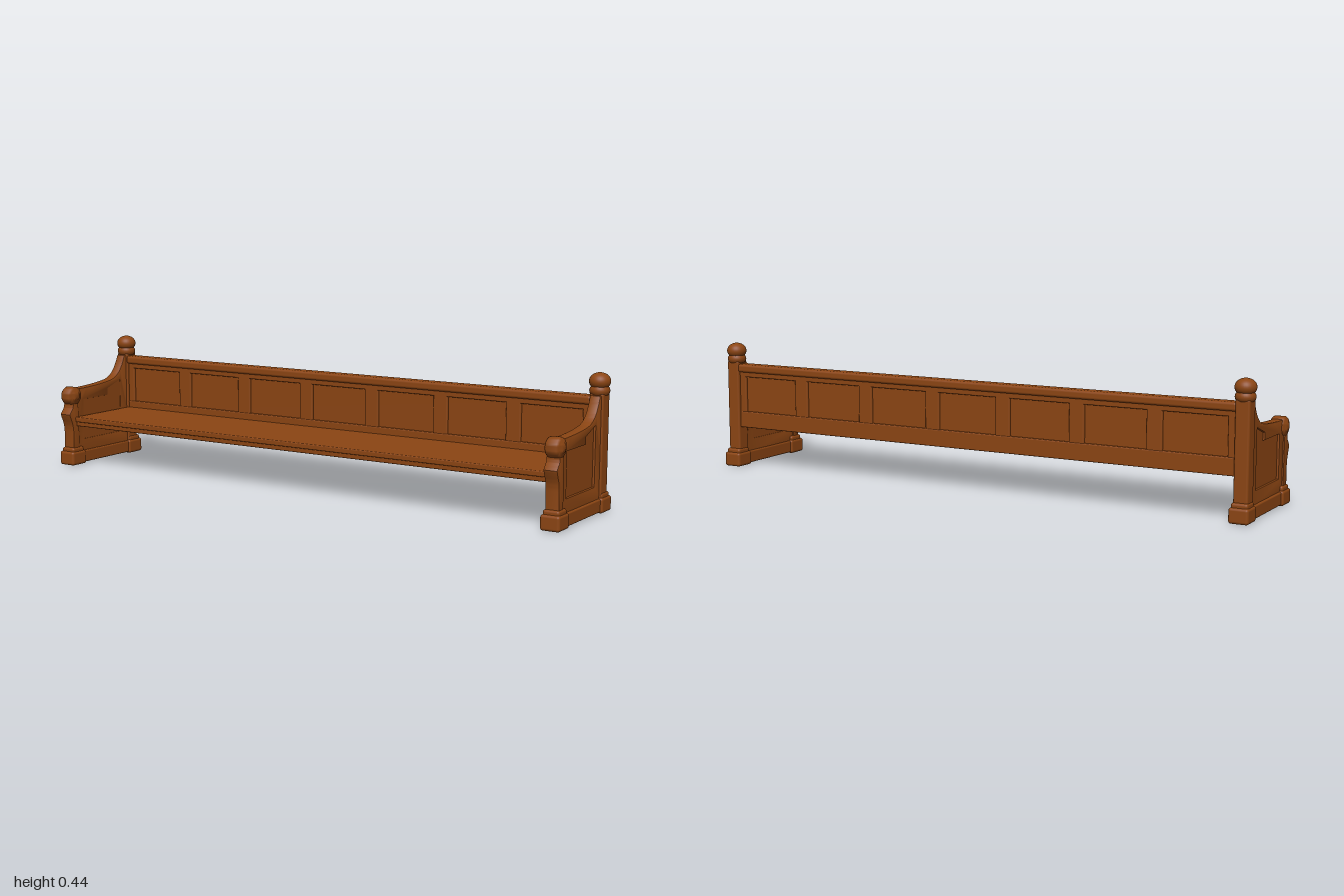
import * as THREE from 'three';
import { RoundedBoxGeometry } from 'three/addons/geometries/RoundedBoxGeometry.js';
import { toCreasedNormals } from 'three/addons/utils/BufferGeometryUtils.js';

const END_X = 0.967;

export function createModel() {
  const pew = new THREE.Group();
  pew.name = 'pew';
  const wood = new THREE.MeshStandardMaterial({ color: 0x8b4513 });
  wood.name = 'brown wood';

  const add = (parent, name, geometry, x = 0, y = 0, z = 0) => {
    const mesh = new THREE.Mesh(geometry, wood);
    mesh.name = name;
    mesh.position.set(x, y, z);
    parent.add(mesh);
    return mesh;
  };
  // Box given by its limits on each axis, with optional rounded edges
  const block = (parent, name, [x0, x1], [y0, y1], [z0, z1], r = 0) => {
    const size = [x1 - x0, y1 - y0, z1 - z0];
    const g = r ? new RoundedBoxGeometry(...size, 3, r) : new THREE.BoxGeometry(...size);
    return add(parent, name, g, (x0 + x1) / 2, (y0 + y1) / 2, (z0 + z1) / 2);
  };
  // Extrudes a (z, y) outline sideways, centred on x = 0
  const sideExtrude = (shape, width, bevel = 0) => {
    const g = new THREE.ExtrudeGeometry(shape, {
      depth: width - 2 * bevel, curveSegments: 14, bevelEnabled: bevel > 0,
      bevelThickness: bevel, bevelSize: bevel, bevelOffset: -bevel, bevelSegments: 2,
    });
    g.translate(0, 0, -(width - 2 * bevel) / 2).rotateY(-Math.PI / 2);
    return toCreasedNormals(g, 0.6);
  };

  // Outline of a bench end: swept arm in front of the tall rear post
  const outline = () => {
    const s = new THREE.Shape();
    s.moveTo(-0.172, 0.02);
    s.lineTo(0.177, 0.02);
    s.lineTo(0.177, 0.12);
    s.bezierCurveTo(0.178, 0.155, 0.192, 0.17, 0.195, 0.187);
    s.bezierCurveTo(0.19, 0.203, 0.176, 0.203, 0.177, 0.222);
    s.lineTo(0.16, 0.278);
    s.lineTo(0.13, 0.278);
    s.bezierCurveTo(0.05, 0.28, 0, 0.284, -0.04, 0.291);
    s.bezierCurveTo(-0.09, 0.303, -0.105, 0.345, -0.118, 0.374);
    s.lineTo(-0.172, 0.374);
    s.closePath();
    return s;
  };
  const frameShape = outline();
  frameShape.holes.push(new THREE.Path([
    [0.115, 0.09], [0.115, 0.235], [-0.02, 0.235], [-0.02, 0.26], [-0.09, 0.285], [-0.09, 0.09],
  ].map(([z, y]) => new THREE.Vector2(z, y))));
  const frameGeo = sideExtrude(frameShape, 0.036, 0.004);

  const panelShape = new THREE.Shape([
    [0.12, 0.085], [0.12, 0.24], [-0.015, 0.24], [-0.015, 0.265], [-0.095, 0.291], [-0.095, 0.085],
  ].map(([z, y]) => new THREE.Vector2(z, y)));
  const panelGeo = sideExtrude(panelShape, 0.026);

  // Curved front stile, slightly wider than the panel
  const stile = new THREE.Shape();
  stile.moveTo(0.145, 0.05);
  stile.lineTo(0.178, 0.05);
  stile.lineTo(0.178, 0.12);
  stile.bezierCurveTo(0.178, 0.155, 0.193, 0.17, 0.196, 0.187);
  stile.bezierCurveTo(0.19, 0.203, 0.176, 0.203, 0.177, 0.225);
  stile.lineTo(0.15, 0.235);
  stile.closePath();
  const stileGeo = sideExtrude(stile, 0.046, 0.003);

  // Rounded scroll with a raised button on its faces
  const scrollGeo = toCreasedNormals(new THREE.LatheGeometry([
    [0, -0.03], [0.015, -0.028], [0.018, -0.024], [0.028, -0.023], [0.033, -0.017],
    [0.033, 0.017], [0.028, 0.023], [0.018, 0.024], [0.015, 0.028], [0, 0.03],
  ].map(([r, y]) => new THREE.Vector2(r, y)), 28).rotateZ(Math.PI / 2), 0.9);

  // Turned finial: collar, neck and flattened ball
  const finialPoints = [[0, 0.372], [0.026, 0.374], [0.031, 0.379], [0.033, 0.388],
    [0.031, 0.396], [0.027, 0.401]].map(([r, y]) => new THREE.Vector2(r, y));
  for (let i = 0; i <= 12; i++) {
    const a = -0.6 + (i / 12) * (Math.PI / 2 + 0.6);
    finialPoints.push(new THREE.Vector2(0.0345 * Math.cos(a), 0.417 + 0.028 * Math.sin(a)));
  }
  const finialGeo = new THREE.LatheGeometry(finialPoints, 28);

  for (const side of [1, -1]) {
    const end = new THREE.Group();
    end.name = side > 0 ? 'leftEnd' : 'rightEnd';
    end.position.x = side * END_X;
    pew.add(end);
    add(end, 'endFrame', frameGeo);
    add(end, 'endPanel', panelGeo, -side * 0.003);
    add(end, 'frontStile', stileGeo);
    add(end, 'armScroll', scrollGeo, 0, 0.253, 0.162);
    block(end, 'rearPost', [-0.024, 0.024], [0.03, 0.382], [-0.178, -0.126], 0.007);
    add(end, 'finial', finialGeo, 0, 0, -0.152);
    block(end, 'baseRail', [-0.026, 0.026], [0.004, 0.047], [-0.14, 0.14], 0.005);
    for (const [name, f] of [['frontFoot', 1], ['rearFoot', -1]]) {
      const z = f * 0.158;
      block(end, name, [-0.033, 0.033], [0, 0.05], [z - 0.037, z + 0.037], 0.009);
      block(end, name + 'Molding', [-0.028, 0.028], [0.04, 0.064], [z - 0.029, z + 0.029], 0.008);
    }
  }

  // Seat board with a rim of rails below it
  const span = [-0.948, 0.948];
  block(pew, 'seat', span, [0.158, 0.176], [-0.15, 0.166], 0.004);
  block(pew, 'frontApron', span, [0.142, 0.162], [0.135, 0.16], 0.004);
  block(pew, 'rearApron', span, [0.142, 0.162], [-0.15, -0.125]);
  for (const s of [-1, 1]) {
    block(pew, 'sideApron', [s * 0.936 - 0.013, s * 0.936 + 0.013], [0.142, 0.162], [-0.13, 0.14]);
  }

  // Panelled backrest, framed alike on both faces
  block(pew, 'backPanel', span, [0.16, 0.355], [-0.158, -0.144]);
  block(pew, 'topRail', span, [0.342, 0.371], [-0.176, -0.126], 0.009);
  block(pew, 'upperFrame', span, [0.325, 0.35], [-0.166, -0.136], 0.004);
  block(pew, 'lowerFrame', span, [0.142, 0.2], [-0.168, -0.134], 0.004);
  for (let i = 0; i <= 7; i++) {
    const x = (i - 3.5) * 0.27;
    block(pew, 'backStile', [x - 0.027, x + 0.027], [0.18, 0.345], [-0.166, -0.136], 0.005);
  }
  return pew;
}
